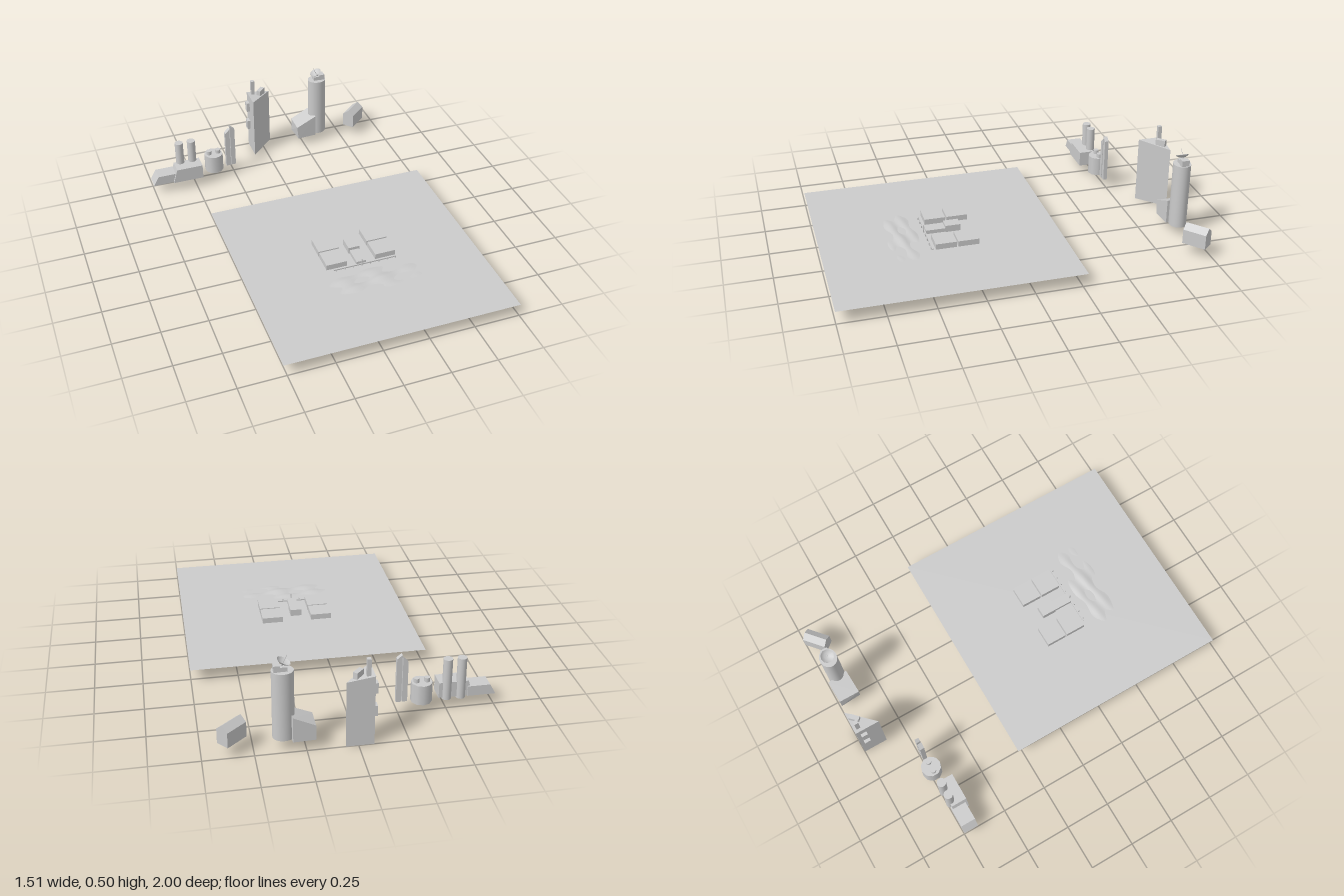
import * as THREE from 'three';

const flat = new THREE.MeshStandardMaterial({ color: 0xcccccc, flatShading: true, side: THREE.DoubleSide });
const smooth = new THREE.MeshStandardMaterial({ color: 0xcccccc, side: THREE.DoubleSide });
const GROUND = 0.071;

function add(parent, name, geometry, x = 0, y = 0, z = 0, material = flat) {
  const mesh = new THREE.Mesh(geometry, material);
  mesh.name = name;
  mesh.position.set(x, y, z);
  parent.add(mesh);
  return mesh;
}

// Box given by its limits on each axis
function block(parent, name, x0, x1, y0, y1, z0, z1) {
  return add(parent, name, new THREE.BoxGeometry(x1 - x0, y1 - y0, z1 - z0),
    (x0 + x1) / 2, (y0 + y1) / 2, (z0 + z1) / 2);
}

function cylinder(parent, name, x, z, r, y0, y1, sides = 24) {
  return add(parent, name, new THREE.CylinderGeometry(r, r, y1 - y0, sides), x, (y0 + y1) / 2, z, smooth);
}

// Walls and roof over a footprint [x, z, topX, roofY], anticlockwise from above
function prism(parent, name, y0, corners) {
  const low = corners.map(([x, z]) => [x, y0, z]);
  const high = corners.map(([, z, tx, ty]) => [tx, ty, z]);
  const tris = [];
  corners.forEach((_, i) => {
    const j = (i + 1) % corners.length;
    tris.push(low[i], low[j], high[j], low[i], high[j], high[i]);
    if (i > 0 && j > 0) tris.push(high[0], high[i], high[j]);
  });
  const g = new THREE.BufferGeometry();
  g.setAttribute('position', new THREE.Float32BufferAttribute(tris.flat(), 3));
  g.computeVertexNormals();
  return add(parent, name, g);
}

function section(parent, name) {
  const g = new THREE.Group();
  g.name = name;
  parent.add(g);
  return g;
}

function buildGround(root) {
  const plane = add(root, 'ground', new THREE.PlaneGeometry(1.27, 1.277), 0.117, GROUND, 0.361);
  plane.rotation.x = -Math.PI / 2;

  // Low rubble mounds rising through the ground
  const g = new THREE.PlaneGeometry(0.62, 0.2, 40, 16).rotateX(-Math.PI / 2);
  const p = g.attributes.position;
  for (let i = 0; i < p.count; i++) {
    const x = p.getX(i), z = p.getZ(i);
    const fade = Math.max(0, 1 - (x / 0.31) ** 2) * Math.max(0, 1 - (z / 0.1) ** 2);
    const wave = Math.sin(x * 24 + z * 30) * Math.cos(z * 45 - x * 9);
    p.setY(i, -0.003 + fade * (0.007 + 0.008 * wave));
  }
  g.computeVertexNormals();
  add(root, 'rubbleMounds', g, 0.12, GROUND, 0.555, smooth);
}

function buildPads(root) {
  const pads = section(root, 'landingPads');
  for (const x of [-0.08, 0.197]) {
    for (const z of [0.175, 0.297]) block(pads, 'pad', x, x + 0.115, GROUND, 0.102, z, z + 0.114);
  }
  block(pads, 'controlBlock', 0.08, 0.143, GROUND, 0.108, 0.238, 0.32);
  block(pads, 'walkway', 0.085, 0.138, GROUND, 0.092, 0.32, 0.425);
  // Front rail with short posts and a thin mast
  block(pads, 'frontRail', -0.045, 0.31, GROUND, 0.078, 0.424, 0.43);
  for (let i = 0; i < 8; i++) {
    const x = -0.035 + i * 0.048;
    block(pads, 'railPost', x, x + 0.005, GROUND, 0.084, 0.432, 0.437);
  }
  block(pads, 'mast', 0.11, 0.114, GROUND, 0.113, 0.431, 0.435);
}

function buildFactory(root) {
  const f = section(root, 'factory');
  prism(f, 'lowShed', 0.058, [
    [-0.757, -0.667, -0.727, 0.113], [-0.61, -0.667, -0.61, 0.113],
    [-0.61, -0.75, -0.61, 0.113], [-0.757, -0.75, -0.727, 0.113]]);
  prism(f, 'highShed', 0.058, [
    [-0.64, -0.656, -0.615, 0.143], [-0.462, -0.656, -0.462, 0.143],
    [-0.462, -0.743, -0.462, 0.143], [-0.64, -0.743, -0.615, 0.143]]);
  for (const x of [-0.577, -0.504]) cylinder(f, 'chimney', x, -0.735, 0.024, 0.05, 0.278);
}

function buildTank(root) {
  const t = section(root, 'storageTank');
  cylinder(t, 'tankBody', -0.373, -0.735, 0.0545, 0.052, 0.16, 10);
  for (const s of [-1, 1]) cylinder(t, 'tankVent', -0.373 + s * 0.027, -0.735, 0.0155, 0.15, 0.183, 12);
}

function buildTwinSlabs(root) {
  const t = section(root, 'twinSlabTower');
  const slab = (name, x0, x1, z0, z1, h0, h1) => prism(t, name, 0.06, [
    [x0, z1, x0, h0], [x1, z1, x1, h1], [x1, z0, x1, h1], [x0, z0, x0, h0]]);
  slab('shortSlab', -0.298, -0.271, -0.748, -0.724, 0.284, 0.31);
  slab('tallSlab', -0.267, -0.24, -0.748, -0.726, 0.327, 0.306);
}

function buildTriangleTower(root) {
  const t = section(root, 'triangularTower');
  prism(t, 'towerBody', 0, [
    [-0.077, -0.865, -0.077, 0.375], [0.063, -1, 0.063, 0.355], [-0.077, -1, -0.077, 0.375]]);
  block(t, 'roofStack', -0.058, -0.037, 0.36, 0.46, -0.985, -0.963);
  const unit = add(t, 'roofUnit', new THREE.BoxGeometry(0.055, 0.04, 0.025), 0.001, 0.377, -0.967);
  unit.rotation.y = Math.PI / 4;
  for (const y of [0.143, 0.268]) block(t, 'wallUnit', -0.095, -0.075, y, y + 0.057, -0.98, -0.945);
}

function buildRoundTower(root) {
  const t = section(root, 'roundTower');
  const body = cylinder(t, 'towerShaft', 0.353, -0.935, 0.054, 0.053, 0.417, 32);
  body.scale.z = 0.87;
  prism(t, 'annex', 0.05, [
    [0.212, -0.873, 0.204, 0.13], [0.328, -0.88, 0.328, 0.185],
    [0.315, -0.995, 0.315, 0.185], [0.204, -0.99, 0.204, 0.13]]);
  block(t, 'roofHouse', 0.365, 0.397, 0.41, 0.45, -0.957, -0.915);
  block(t, 'dishBase', 0.33, 0.366, 0.41, 0.44, -0.955, -0.918);
  // Tilted dish with feed spike
  const dish = section(t, 'dish');
  dish.position.set(0.352, 0.45, -0.935);
  dish.rotation.z = 0.45;
  const profile = [[0, 0], [0.016, 0.002], [0.028, 0.008], [0.036, 0.016]].map(([r, y]) => new THREE.Vector2(r, y));
  add(dish, 'dishBowl', new THREE.LatheGeometry(profile, 10), 0, 0, 0, smooth);
  add(dish, 'dishFeed', new THREE.CylinderGeometry(0.001, 0.002, 0.05, 6), 0, 0.025, 0);
  add(dish, 'dishStem', new THREE.CylinderGeometry(0.005, 0.005, 0.025, 8), 0, -0.01, 0);
}

function buildGabledHouse(root) {
  const s = new THREE.Shape([[-0.035, 0.06], [0.035, 0.06], [0.035, 0.141], [0, 0.17], [-0.035, 0.141]]
    .map(([x, y]) => new THREE.Vector2(x, y)));
  const g = new THREE.ExtrudeGeometry(s, { depth: 0.13, bevelEnabled: false });
  const house = add(root, 'gabledHouse', g, 0.55, 0, -0.892);
  house.rotation.y = 2.285;
}

export function createModel() {
  const root = new THREE.Group();
  root.name = 'industrialSite';
  [buildGround, buildPads, buildFactory, buildTank, buildTwinSlabs,
    buildTriangleTower, buildRoundTower, buildGabledHouse].forEach((build) => build(root));
  return root;
}
